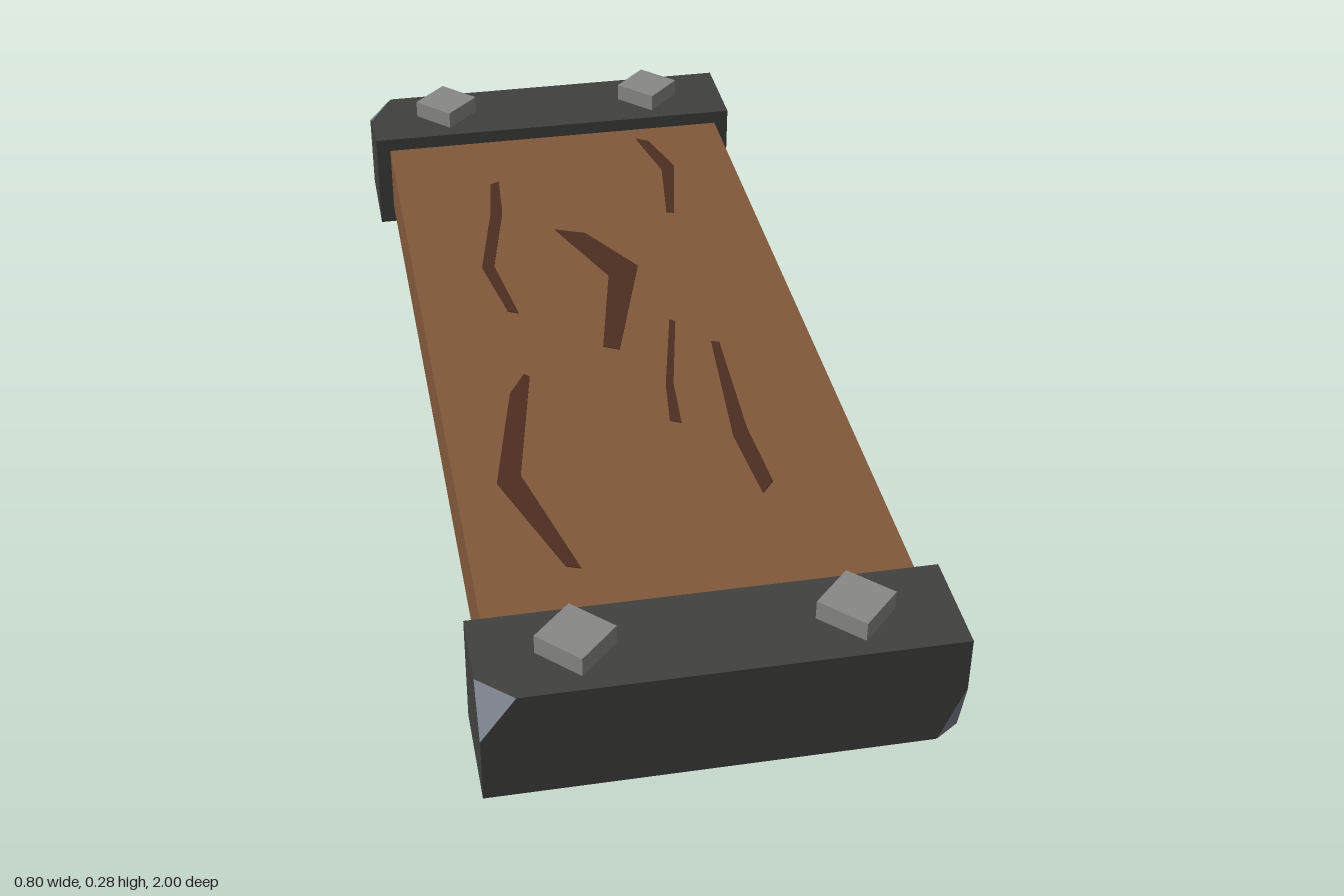
import * as THREE from 'three';
import { ConvexGeometry } from 'three/addons/geometries/ConvexGeometry.js';

const material = (color) => new THREE.MeshStandardMaterial({ color, flatShading: true });
const wood = material(0x80583b);
const darkWood = material(0x4d2e20);
const iron = material(0x40403e);
const wornIron = material(0x7c808c);
const steel = material(0x888886);

const BAR = { x: 0.4, bottom: 0.03, top: 0.24 };
const BOARD_TOP = 0.212;

function add(parent, name, geometry, mat) {
  const mesh = new THREE.Mesh(geometry, mat);
  mesh.name = name;
  parent.add(mesh);
  return mesh;
}

// End bar: a box whose chipped corners are replaced by three points each.
// A chip names its corner by signs (x, y, z) and the cut length along each axis.
function endBar(name, z0, z1, chips) {
  const group = new THREE.Group();
  group.name = name;
  const centre = new THREE.Vector3(0, (BAR.bottom + BAR.top) / 2, (z0 + z1) / 2);
  const points = [];
  for (const sx of [-1, 1]) for (const sy of [-1, 1]) for (const sz of [-1, 1]) {
    const corner = new THREE.Vector3(sx * BAR.x, sy > 0 ? BAR.top : BAR.bottom, sz > 0 ? z1 : z0);
    const chip = chips.find((c) => c.corner[0] === sx && c.corner[1] === sy && c.corner[2] === sz);
    if (!chip) {
      points.push(corner);
      continue;
    }
    const cut = ['x', 'y', 'z'].map((axis, i) => {
      const p = corner.clone();
      p[axis] -= chip.corner[i] * chip.size[i];
      return p;
    });
    points.push(...cut);

    // Bright worn facet laid just above the cut
    const normal = new THREE.Triangle(...cut).getNormal(new THREE.Vector3());
    if (normal.dot(corner.clone().sub(centre)) < 0) {
      cut.reverse();
      normal.negate();
    }
    const facet = new THREE.BufferGeometry().setFromPoints(cut);
    facet.computeVertexNormals();
    add(group, 'wornChip', facet, wornIron).position.copy(normal.multiplyScalar(0.0008));
  }
  add(group, 'bar', new ConvexGeometry(points), iron);
  return group;
}

// Cracks as outlines of [x, z] on the board's top
const cracks = [
  [[-0.17, -0.62], [-0.15, -0.63], [-0.16, -0.5], [-0.205, -0.29], [-0.18, -0.11], [-0.2, -0.12], [-0.23, -0.29], [-0.185, -0.5]],
  [[0.18, -0.765], [0.205, -0.75], [0.24, -0.63], [0.2, -0.435], [0.185, -0.44], [0.21, -0.62]],
  [[-0.06, -0.41], [0, -0.385], [0.085, -0.24], [-0.005, 0.05], [-0.035, 0.035], [0.02, -0.215]],
  [[0.11, -0.035], [0.12, -0.025], [0.075, 0.18], [0.065, 0.305], [0.045, 0.295], [0.06, 0.18]],
  [[0.175, 0.055], [0.19, 0.06], [0.18, 0.345], [0.19, 0.505], [0.165, 0.535], [0.15, 0.36]],
  [[-0.2, 0.1], [-0.19, 0.11], [-0.25, 0.41], [-0.185, 0.68], [-0.21, 0.67], [-0.295, 0.425], [-0.235, 0.16]],
];

export function createModel() {
  const model = new THREE.Group();
  model.name = 'plank';

  // Board
  const thickness = BOARD_TOP - 0.065;
  add(model, 'board', new THREE.BoxGeometry(0.74, thickness, 1.66), wood)
    .position.y = BOARD_TOP - thickness / 2;

  // Cracks
  for (const outline of cracks) {
    const shape = new THREE.Shape(outline.map(([x, z]) => new THREE.Vector2(x, -z)));
    const geometry = new THREE.ExtrudeGeometry(shape, { depth: 0.005, bevelEnabled: false });
    geometry.rotateX(-Math.PI / 2);
    add(model, 'crack', geometry, darkWood).position.y = BOARD_TOP - 0.003;
  }

  // End bars
  model.add(endBar('frontBar', 0.807, 1, [
    { corner: [-1, 1, 1], size: [0.06, 0.085, 0.055] },
    { corner: [1, -1, 1], size: [0.045, 0.11, 0.03] },
  ]));
  model.add(endBar('backBar', -1, -0.81, [
    { corner: [-1, 1, -1], size: [0.05, 0.05, 0.095] },
  ]));

  // Square bolts through both bars
  const bolt = new THREE.CylinderGeometry(0.067, 0.067, 0.276, 4);
  for (const x of [-0.231, 0.231]) for (const z of [-0.909, 0.902]) {
    add(model, 'bolt', bolt, steel).position.set(x, 0.138, z);
  }
  return model;
}
